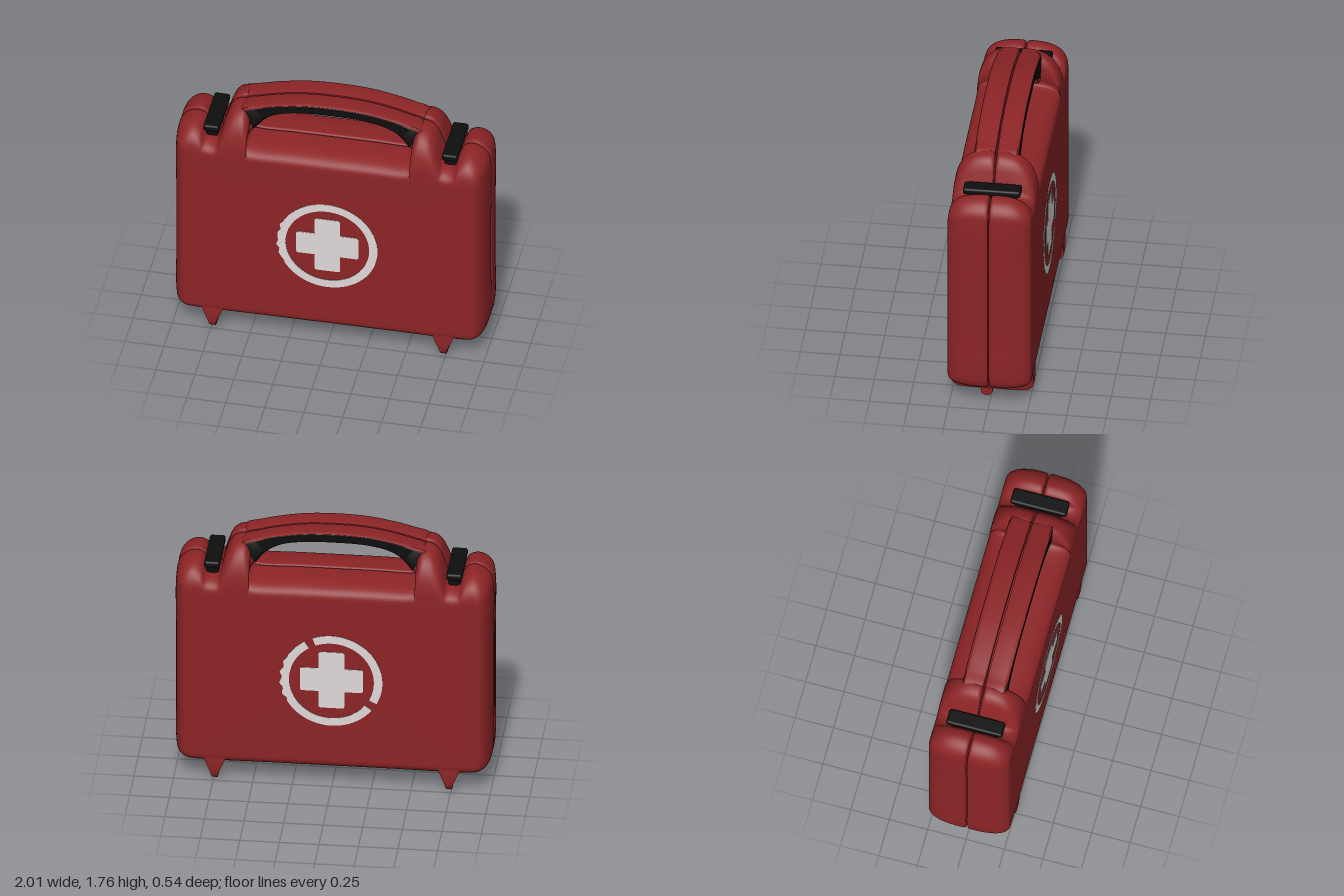
import * as THREE from 'three';
import { toCreasedNormals } from 'three/addons/utils/BufferGeometryUtils.js';
import { RoundedBoxGeometry } from 'three/addons/geometries/RoundedBoxGeometry.js';

const V = (x, y, z = 0) => new THREE.Vector3(x, y, z);
const { clamp, degToRad } = THREE.MathUtils;

// Skin between rings of equal point count
function loft(rings, wrap = true) {
  const n = rings[0].length, index = [];
  for (let j = 0; j < rings.length - 1; j++) {
    for (let i = 0; i < (wrap ? n : n - 1); i++) {
      const a = j * n + i, b = j * n + (i + 1) % n;
      index.push(a, b, b + n, a, b + n, a + n);
    }
  }
  const g = new THREE.BufferGeometry().setFromPoints(rings.flat());
  g.setIndex(index);
  g.computeVertexNormals();
  return g;
}

// Right half of the case outline, from bottom centre up to the sill of the opening
const OUTLINE = [
  [0, .11], [.4, .11], [.85, .11], [.93, .125], [.985, .17], [1, .25], [1, .5], [1, 1], [1, 1.38],
  [.985, 1.46], [.94, 1.51], [.88, 1.53], [.83, 1.51], [.8, 1.46], [.76, 1.445], [.72, 1.46],
  [.695, 1.53], [.66, 1.62], [.62, 1.66], [.56, 1.668], [.53, 1.62], [.525, 1.54], [.535, 1.46],
  [.5, 1.44], [.25, 1.44], [0, 1.44],
];

// Shell: outline blends to a flat inner rectangle along a rounded profile
function shellGeometry() {
  const right = new THREE.CatmullRomCurve3(OUTLINE.map(([x, y]) => V(x, y))).getPoints(125);
  const left = right.slice(1, -1).reverse().map(p => V(-p.x, p.y));
  const outer = [...right, ...left];
  const inner = outer.map(p => V(clamp(p.x, -.9, .9), clamp(p.y, .2, 1.34)));
  const profile = [[0, .004], [.85, .004], [.95, .007], [.99, .016]];
  for (let s = 0; s <= 14; s++) {
    const a = s / 14 * Math.PI / 2, e = 2 / 2.6;
    profile.push([Math.max(0, Math.cos(a)) ** e, .03 + .235 * Math.sin(a) ** e]);
  }
  const rings = profile.map(([k, z]) => outer.map((p, i) => inner[i].clone().lerp(p, k).setZ(z)));
  const cap = z => outer.map(() => V(0, .77, z));
  return loft([cap(.004), ...rings, cap(.265)]);
}

// Handle stations: outer edge x, y and inner edge x, y
const STATIONS = [
  [.62, 1.62, .54, 1.45], [.57, 1.67, .49, 1.53], [.5, 1.687, .42, 1.61],
  [.38, 1.717, .32, 1.66], [.2, 1.748, .18, 1.685], [0, 1.757, 0, 1.69],
];
function handleGeometry(section, wrap, trim) {
  const all = [...STATIONS, ...STATIONS.slice(0, -1).reverse().map(([a, b, c, d]) => [-a, b, -c, d])];
  const top = new THREE.CatmullRomCurve3(all.map(s => V(s[0], s[1])));
  const low = new THREE.CatmullRomCurve3(all.map(s => V(s[2], s[3])));
  const rings = [];
  for (let j = 0; j <= 48; j++) {
    const t = trim + (1 - 2 * trim) * j / 48;
    const a = low.getPoint(t), b = top.getPoint(t);
    rings.push(section.map(([s, z]) => a.clone().lerp(b, s).setZ(z)));
  }
  return toCreasedNormals(loft(rings, wrap), .75);
}
const BAR = [[0, .02], [0, .122], [.1, .137], [.88, .137], [.97, .13], [1, .112], [1, .025], [.93, .006], [.07, .006]];
const GRIP = [[-.03, .022], [-.03, .125], [.08, .141], [.8, .141], [.86, .135]];

// Foot fin: side profile extruded, then flared toward the case
function footGeometry() {
  const s = new THREE.Shape();
  s.moveTo(.01, .24);
  for (let i = 1; i <= 8; i++) s.lineTo(.01, .24 - i * .028);
  s.quadraticCurveTo(.01, .004, .03, .002);
  s.lineTo(.13, 0);
  s.lineTo(.19, .004);
  s.bezierCurveTo(.24, .008, .263, .03, .264, .09);
  for (let i = 1; i <= 6; i++) s.lineTo(.264 - i * .001, .09 + i * .025);
  const g = new THREE.ExtrudeGeometry(s, { depth: 1, bevelEnabled: false, curveSegments: 8 });
  const p = g.attributes.position;
  for (let i = 0; i < p.count; i++) {
    const z = p.getX(i), y = p.getY(i), side = p.getZ(i) > .5 ? 1 : -1;
    const w = .016 + .06 * Math.min(1, y / .18) ** 1.6;
    p.setXYZ(i, -side * w, y, z);
  }
  // the remap swaps x and z, and the flipped side keeps the faces outward
  g.computeVertexNormals();
  return toCreasedNormals(g, .6);
}

// Ring arc with a slightly worn outer edge
function arcShape(from, to, worn) {
  const pts = [], n = 64;
  for (let i = 0; i <= n; i++) {
    const d = from + (to - from) * i / n, a = degToRad(d);
    const r = .322 + (worn && d > 155 && d < 212 ? .009 * Math.sin(d * .45) : 0);
    pts.push(new THREE.Vector2(r * Math.cos(a), r * Math.sin(a)));
  }
  for (let i = n; i >= 0; i--) {
    const a = degToRad(from + (to - from) * i / n);
    pts.push(new THREE.Vector2(.268 * Math.cos(a), .268 * Math.sin(a)));
  }
  return new THREE.Shape(pts);
}

// Cross with softened corners
function crossShape() {
  const L = .2, W = .082, r = .018, s = new THREE.Shape();
  for (let q = 0; q < 4; q++) {
    const c = Math.round(Math.cos(q * Math.PI / 2)), n = Math.round(Math.sin(q * Math.PI / 2));
    const P = (x, y) => [x * c - y * n, x * n + y * c];
    if (q === 0) s.moveTo(...P(W, -W)); else s.lineTo(...P(W, -W));
    s.lineTo(...P(L - r, -W));
    s.quadraticCurveTo(...P(L, -W), ...P(L, -W + r));
    s.lineTo(...P(L, W - r));
    s.quadraticCurveTo(...P(L, W), ...P(L - r, W));
  }
  return s;
}

export function createModel() {
  const model = new THREE.Group();
  model.name = 'firstAidCase';
  const red = new THREE.MeshStandardMaterial({ color: 0x8c2426 });
  red.name = 'red plastic';
  const black = new THREE.MeshStandardMaterial({ color: 0x0e0e0e, side: THREE.DoubleSide });
  black.name = 'black rubber';
  const white = new THREE.MeshStandardMaterial({ color: 0xdfd8d8 });
  white.name = 'white paint';

  const add = (parent, name, geo, mat, x = 0, y = 0, z = 0) => {
    const m = new THREE.Mesh(geo, mat);
    m.name = name;
    m.position.set(x, y, z);
    parent.add(m);
    return m;
  };

  const shell = shellGeometry(), bar = handleGeometry(BAR, true, 0);
  const grip = handleGeometry(GRIP, false, .085), foot = footGeometry();
  const plate = shape => new THREE.ExtrudeGeometry(shape, { depth: .005, bevelEnabled: false });

  // Two matching halves, the rear one turned around
  for (const side of ['front', 'back']) {
    const half = new THREE.Group();
    half.name = side + 'Half';
    if (side === 'back') half.rotation.y = Math.PI;
    add(half, 'shell', shell, red);
    add(half, 'handleBar', bar, red);
    add(half, 'handleGrip', grip, black);
    for (const s of [-1, 1]) add(half, 'foot', foot, red, s * .74);
    const arcs = side === 'front' ? [[0, 360]] : [[-28, 112], [122, 322]];
    for (const [a, b] of arcs) add(half, 'emblemRing', plate(arcShape(a, b, true)), white, 0, .77, .263);
    add(half, 'emblemCross', plate(crossShape()), white, 0, .775, .263);
    model.add(half);
  }

  // Latches over the notches and hinge knuckles under the case
  for (const s of [-1, 1]) {
    const name = s > 0 ? 'left' : 'right';
    add(model, name + 'LatchStrap', new RoundedBoxGeometry(.1, .045, .365, 3, .015), black, s * .765, 1.508, 0);
    add(model, name + 'LatchBase', new RoundedBoxGeometry(.08, .06, .31, 3, .012), black, s * .765, 1.467, 0);
    const pin = add(model, name + 'HingePin', new THREE.CylinderGeometry(.024, .024, .13, 20), red, s * .79, .048, .025);
    pin.rotation.z = Math.PI / 2;
    const knuckle = add(model, name + 'HingeKnuckle', new THREE.CylinderGeometry(.038, .038, .055, 24), red, s * .825, .05, .025);
    knuckle.rotation.z = Math.PI / 2;
    const arm = add(model, name + 'HingeArm', new RoundedBoxGeometry(.05, .045, .15, 2, .012), red, s * .825, .088, .085);
    arm.rotation.x = -.45;
  }
  return model;
}
